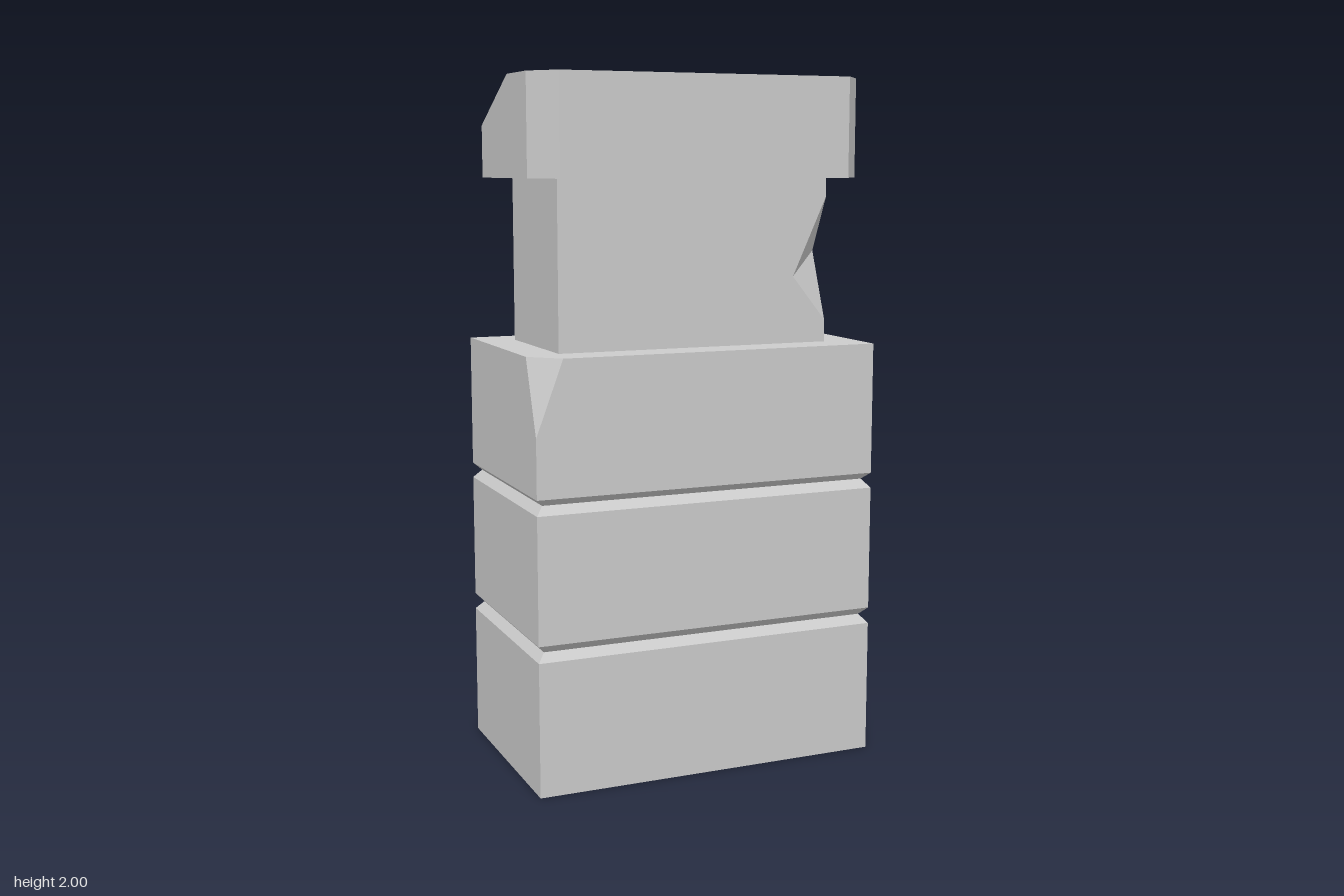
import * as THREE from 'three';
import { mergeGeometries } from 'three/addons/utils/BufferGeometryUtils.js';

const material = new THREE.MeshStandardMaterial({ color: 0xcccccc, flatShading: true, side: THREE.DoubleSide });

// Flat polygons, each fanned from its first corner
function polygons(faces) {
  const pos = [];
  for (const f of faces)
    for (let i = 1; i < f.length - 1; i++) pos.push(...f[0], ...f[i], ...f[i + 1]);
  const g = new THREE.BufferGeometry();
  g.setAttribute('position', new THREE.Float32BufferAttribute(pos, 3));
  g.computeVertexNormals();
  return g;
}

// Walls joining successive rings of equal length
function loft(rings) {
  const faces = [];
  for (let r = 0; r < rings.length - 1; r++) {
    const a = rings[r], b = rings[r + 1], n = a.length;
    for (let i = 0; i < n; i++) faces.push([a[i], a[(i + 1) % n], b[(i + 1) % n], b[i]]);
  }
  return polygons(faces);
}

// Horizontal plate from a ring, with an optional hole
function plate(outer, hole, y, faceDown = false) {
  const s = faceDown ? 1 : -1;
  const flat = (ring) => ring.map((p) => new THREE.Vector2(p[0], s * p[2]));
  const shape = new THREE.Shape(flat(outer));
  if (hole) shape.holes.push(new THREE.Path(flat(hole)));
  const g = new THREE.ShapeGeometry(shape).rotateX(s * Math.PI / 2).translate(0, y, 0).toNonIndexed();
  g.deleteAttribute('uv');
  return g;
}

const rect = (x, z, y) => [[-x, y, z], [x, y, z], [x, y, -z], [-x, y, -z]];
const octagon = (x, z, cx, cz, y) => [
  [-x + cx, y, z], [x - cx, y, z], [x, y, z - cz], [x, y, -z + cz],
  [x - cx, y, -z], [-x + cx, y, -z], [-x, y, -z + cz], [-x, y, z - cz],
];

export function createModel() {
  const group = new THREE.Group();
  const add = (name, ...parts) => {
    const mesh = new THREE.Mesh(parts.length > 1 ? mergeGeometries(parts) : parts[0], material);
    mesh.name = name;
    group.add(mesh);
  };

  const X = 0.52, Z = 0.31;      // base half sizes
  const x = 0.415, z = 0.2;      // neck half sizes
  const y0 = 0.85, y1 = 1.235, y2 = 1.715, y3 = 2;

  // Lower blocks with two V-grooves, open underneath
  const profile = [[0, 0], [0.39, 0], [0.415, 0.022], [0.438, 0], [0.805, 0], [0.83, 0.022], [y0, 0]];
  add('groovedBase', loft(profile.map(([y, d]) => rect(X - d, Z - d, y))));

  // Upper block: one corner cut off at the top, one edge notched
  const cut = [[-X, 1.02, Z], [-X, y1, 0.23], [-0.44, y1, Z]];
  const notchB = [[X, 0.93, -Z], [X, 0.99, -0.25], [X, 1.18, -Z], [0.43, 1.04, -Z]];
  add('upperBlock', polygons([
    [[-X, y0, Z], [X, y0, Z], [X, y1, Z], cut[2], cut[0]],
    [[X, y0, Z], [X, y0, -Z], notchB[0], notchB[1], notchB[2], [X, y1, -Z], [X, y1, Z]],
    [[-X, y0, -Z], [-X, y1, -Z], [X, y1, -Z], notchB[2], notchB[3], notchB[0], [X, y0, -Z]],
    [[-X, y0, -Z], [-X, y0, Z], cut[0], cut[1], [-X, y1, -Z]],
    [cut[0], cut[2], cut[1]],
    [notchB[1], notchB[3], notchB[2]],
    [notchB[1], notchB[0], notchB[3]],
  ]), plate([cut[2], [X, y1, Z], [X, y1, -Z], [-X, y1, -Z], cut[1]], rect(x, z, y1), y1));

  // Neck with a notch in its front left edge
  const n = [[x, 1.3, z], [0.31, 1.43, z], [x, 1.66, z], [x, 1.5, 0.12]];
  add('neck', polygons([
    [[-x, y1, z], [x, y1, z], n[0], n[1], n[2], [x, y2, z], [-x, y2, z]],
    [[x, y1, -z], [x, y2, -z], [x, y2, z], n[2], n[3], n[0], [x, y1, z]],
    [[x, y1, -z], [-x, y1, -z], [-x, y2, -z], [x, y2, -z]],
    [[-x, y1, -z], [-x, y1, z], [-x, y2, z], [-x, y2, -z]],
    [n[1], n[3], n[2]],
    [n[1], n[0], n[3]],
  ]));

  // Chamfered head with a broken back right corner
  const o = octagon(0.503, 0.29, 0.065, 0.08, y2);
  const t = octagon(0.503, 0.29, 0.065, 0.08, y3);
  const c5 = [o[5][0], 1.865, o[5][2]], c6 = [o[6][0], 1.865, o[6][2]];
  const rim = [[-0.265, y3, -0.29], [-0.335, y3, -0.205], [-0.42, y3, -0.09], [-0.503, y3, 0.04]];
  const sides = [0, 1, 2, 3, 7].map((i) => [o[i], o[(i + 1) % 8], t[(i + 1) % 8], t[i]]);
  const slotRim = octagon(0.315, 0.153, 0.065, 0.068, y3);
  add('head', polygons([
    ...sides,
    [o[4], o[5], c5, rim[0], t[4]],
    [o[5], o[6], c6, c5],
    [o[6], o[7], t[7], rim[3], c6],
    [c5, c6, rim[3], rim[2], rim[1], rim[0]],
  ]),
  plate([...t.slice(0, 5), ...rim, t[7]], slotRim, y3),
  plate(o, rect(x, z, y2), y2, true));

  // Slot in the head: bevelled mouth, straight walls and floor
  const inner = (y) => octagon(0.243, 0.111, 0.05, 0.046, y);
  add('slot', loft([slotRim, inner(1.95), inner(y2)]), plate(inner(y2), null, y2));

  return group;
}
